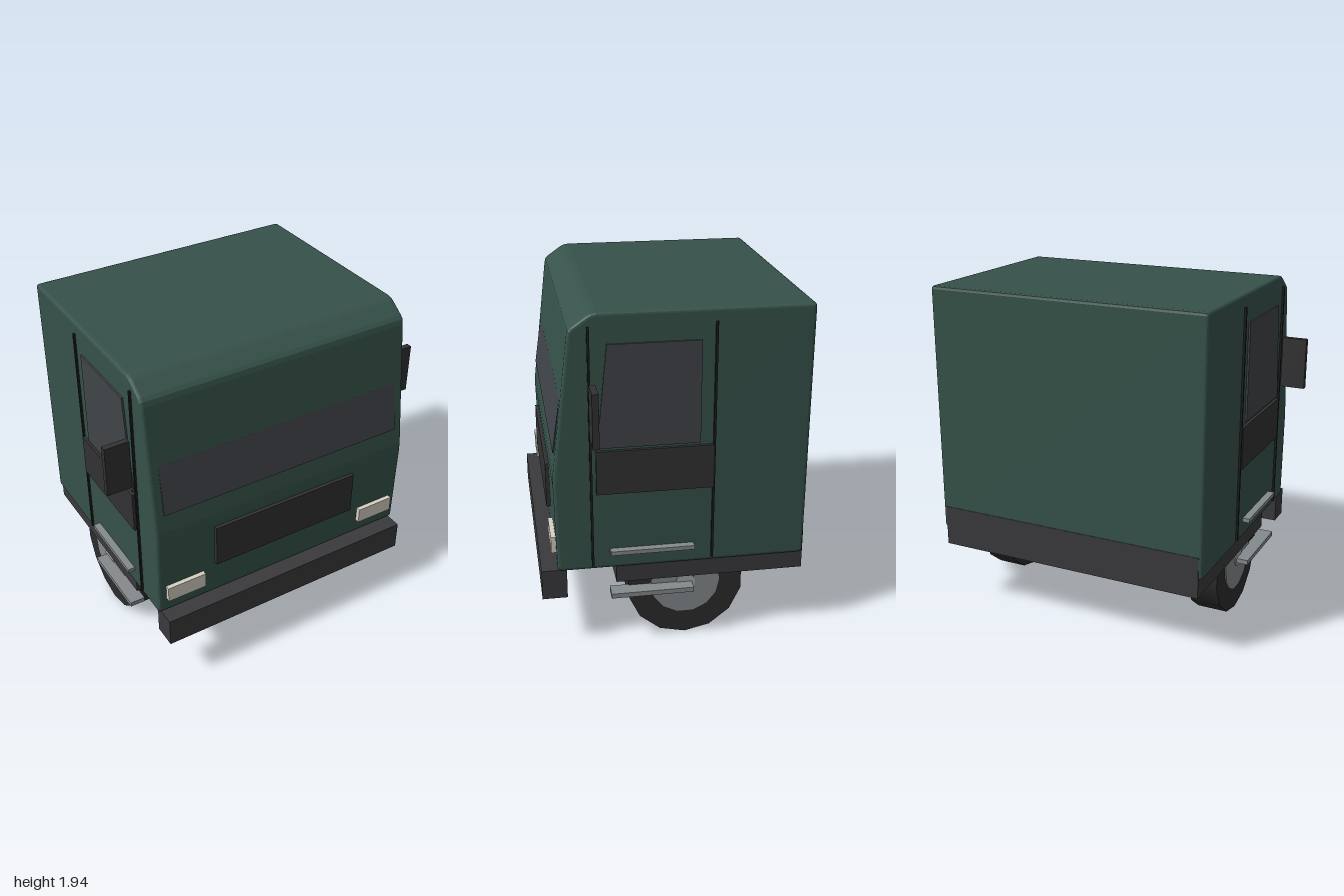
import * as THREE from 'three';

const mat = (color) => new THREE.MeshStandardMaterial({ color });
const green = mat(0x36524a), dark = mat(0x323234), black = mat(0x1c1c1e), glass = mat(0x414448);
const chassisGrey = mat(0x3a3a3d), tyreBlack = mat(0x2c2c2c), steel = mat(0x858a8d), silver = mat(0xa4a8aa), lamp = mat(0xd6d0c4);

export function createModel() {
  const model = new THREE.Group();

  const add = (name, geometry, material) => {
    const mesh = new THREE.Mesh(geometry, material);
    mesh.name = name;
    model.add(mesh);
    return mesh;
  };

  // Box given by its limits on each axis
  const box = (name, material, [x0, x1], [y0, y1], [z0, z1]) => {
    const mesh = add(name, new THREE.BoxGeometry(x1 - x0, y1 - y0, z1 - z0), material);
    mesh.position.set((x0 + x1) / 2, (y0 + y1) / 2, (z0 + z1) / 2);
    return mesh;
  };

  // Side profile in (z, y), extruded across x
  const extrudeSide = (points, x0, x1, bevel = 0) => {
    const shape = new THREE.Shape(points.map(([z, y]) => new THREE.Vector2(z, y)));
    const geometry = new THREE.ExtrudeGeometry(shape, {
      depth: x1 - x0 - 2 * bevel, bevelEnabled: bevel > 0, bevelThickness: bevel,
      bevelSize: bevel, bevelOffset: -bevel, bevelSegments: 3,
    });
    return geometry.rotateY(-Math.PI / 2).translate(x1 - bevel, 0, 0);
  };

  // Cab and cargo shell with a raked front and chamfered brow
  add('body', extrudeSide([
    [0.63, 0.48], [0.645, 0.487], [0.65, 0.5], [0.66, 1.0], [0.657, 1.06],
    [0.564, 1.82], [0.557, 1.85], [0.54, 1.868], [0.46, 1.924], [0.44, 1.934], [0.41, 1.94],
    [-0.722, 1.94], [-0.735, 1.935], [-0.74, 1.922],
    [-0.74, 0.498], [-0.735, 0.485], [-0.722, 0.48],
  ], -0.83, 0.83, 0.018), green);

  // Windscreen wedge, proud at the bottom and fading into the body
  add('windscreen', extrudeSide([
    [0.6, 1.17], [0.652, 1.17], [0.607, 1.47], [0.57, 1.47],
  ], -0.77, 0.77), glass);

  // Front fittings and underframe
  box('grille', dark, [-0.468, 0.468], [0.705, 0.97], [0.63, 0.68]);
  box('bumper', chassisGrey, [-0.812, 0.812], [0.305, 0.48], [0.6, 0.74]);
  box('chassis', chassisGrey, [-0.81, 0.81], [0.375, 0.615], [-0.743, 0.325]);

  for (const s of [1, -1]) {
    const side = s > 0 ? 'left' : 'right';
    const span = (a, b) => (s > 0 ? [a, b] : [-b, -a]);

    box(`${side}Headlight`, lamp, span(0.54, 0.78), [0.575, 0.67], [0.64, 0.68]);
    box(`${side}Mirror`, dark, span(0.855, 1), [1.27, 1.57], [0.425, 0.46]);

    // Door: seams, window, lower panel and trim
    box(`${side}FrontDoorSeam`, black, span(0.82, 0.842), [0.505, 1.87], [0.45, 0.463]);
    box(`${side}RearDoorSeam`, black, span(0.82, 0.842), [0.505, 1.87], [-0.217, -0.204]);
    box(`${side}DoorPanel`, dark, span(0.82, 0.848), [0.94, 1.19], [-0.205, 0.43]);
    add(`${side}DoorWindow`, extrudeSide([
      [-0.135, 1.205], [0.422, 1.205], [0.362, 1.775], [-0.135, 1.775],
    ], ...span(0.82, 0.84)), glass);
    box(`${side}DoorRail`, steel, span(0.82, 0.872), [0.578, 0.602], [-0.105, 0.36]);
    box(`${side}Step`, steel, span(0.78, 0.872), [0.308, 0.336], [-0.105, 0.36]);

    // Wheel: tyre, hub disc and cap share one axle
    const disc = (name, material, radius, x0, x1, sides, turn = 0) => {
      const geometry = new THREE.CylinderGeometry(radius, radius, x1 - x0, sides);
      geometry.rotateY(turn).rotateZ(Math.PI / 2);
      add(name, geometry, material).position.set(s * (x0 + x1) / 2, 0.333, -0.07);
    };
    disc(`${side}Tyre`, tyreBlack, 0.333, 0.61, 0.79, 14, Math.PI / 2);
    disc(`${side}Hub`, steel, 0.2, 0.605, 0.797, 14);
    disc(`${side}HubCap`, silver, 0.055, 0.6, 0.803, 14);
  }
  return model;
}
